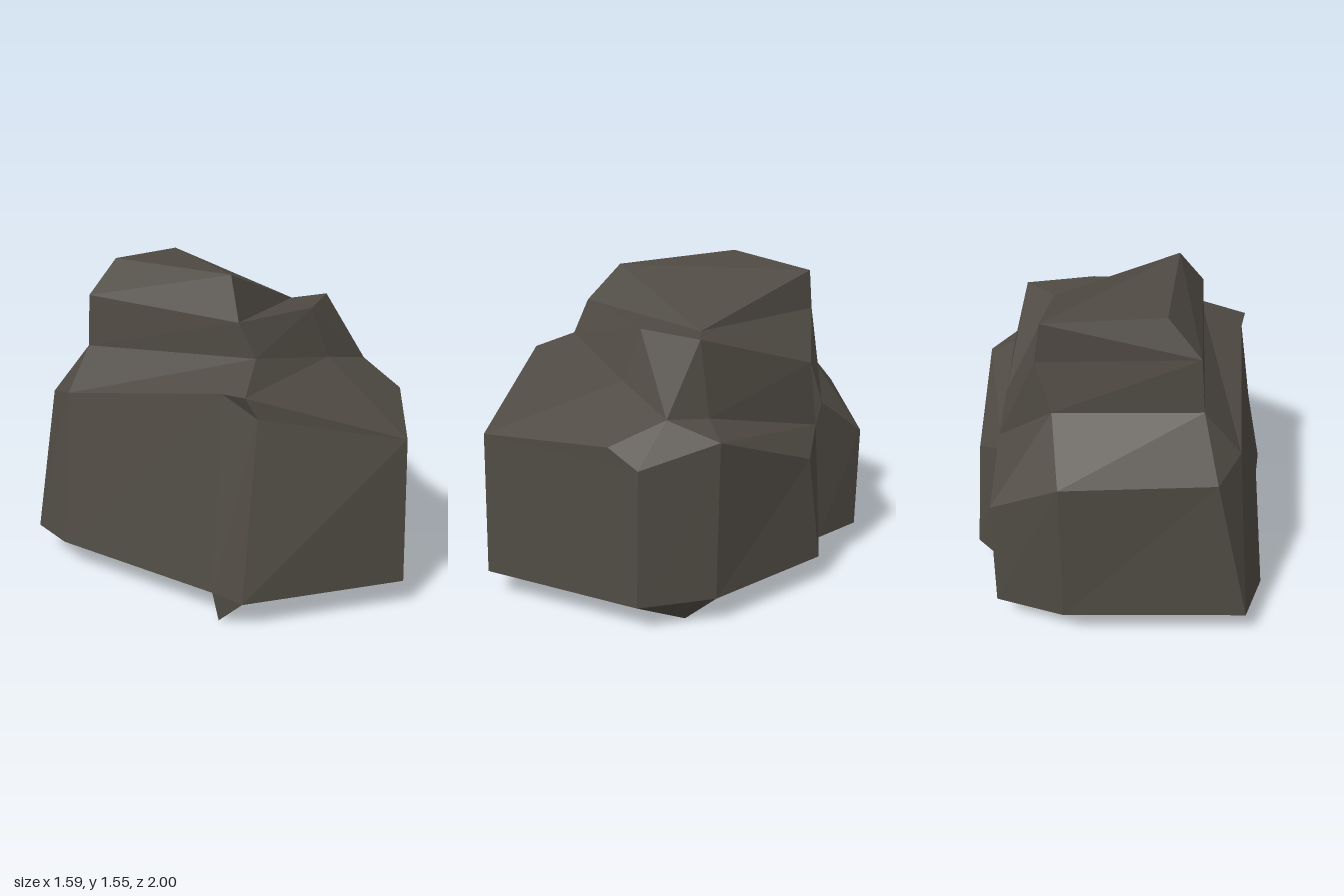
import * as THREE from 'three';

const stone = new THREE.MeshStandardMaterial({ color: 0x4f4a43, flatShading: true });
stone.name = 'dark stone';

// Named corners, grouped by height
const base = {
  a: [0.03, 0.14, 1.0], b: [0.7, 0.14, 0.51], c: [0.79, 0.14, 0.14], d: [0.66, 0.14, -0.54],
  e: [0.48, 0.14, -0.67], f: [0.42, 0.14, -0.95], g: [0.08, 0.14, -0.99], h: [-0.76, 0.14, -0.8],
  i: [-0.8, 0.14, -0.54], j: [-0.67, 0.14, 0.4], k: [-0.66, 0.14, 0.58],
};
const rim = {
  a: [0.03, 0.86, 0.98], b: [0.68, 0.81, 0.49], c: [0.77, 0.91, 0.12], d: [0.64, 0.68, -0.47],
  e: [0.47, 0.78, -0.62], f: [0.42, 0.68, -0.95], g: [0.08, 0.86, -1.0], h: [-0.6, 0.86, -0.81],
  i: [-0.67, 0.91, -0.6], j: [-0.54, 1.08, 0.35], k: [-0.5, 0.99, 0.53],
};
const ledge = {
  b: [0.56, 0.9, 0.58], c: [0.61, 1.0, 0.31], d: [0.63, 0.98, 0.1], f: [0.46, 0.89, -0.66],
  g: [0.17, 1.1, -0.75], h: [-0.5, 1.12, -0.63], j: [-0.32, 1.2, 0.36], k: [-0.54, 1.09, 0.49],
};
const neck = {
  a: [0.24, 1.09, 0.35], d: [0.54, 1.33, 0.1], e: [0.43, 1.1, -0.6], g: [0.25, 1.33, -0.72],
  h: [-0.48, 1.38, -0.63], j: [-0.34, 1.36, 0.27],
};
const crown = {
  front: [0.23, 1.33, 0.25], side: [0.37, 1.32, 0.0], back: [0.22, 1.52, -0.72],
  left: [-0.32, 1.55, -0.6], peak: [-0.24, 1.55, 0.13],
};

// Rings run front, +x, back, -x; repeated corners close facets to a point
const pick = (set, keys) => [...keys].map((k) => set[k]);
const rings = [
  pick(base, 'abccdefghijjk'),
  pick(rim, 'abccdefghijjk'),
  [rim.a, ledge.b, ledge.c, ledge.d, rim.e, rim.e, ledge.f, ledge.g, ledge.h, ledge.h,
    ledge.j, ledge.j, ledge.k],
  [neck.a, neck.a, ledge.c, neck.d, neck.e, neck.e, neck.e, neck.g, neck.h, neck.h,
    neck.j, neck.j, ledge.j],
  [crown.front, crown.front, crown.front, crown.front, crown.side, crown.side, crown.side,
    crown.side, crown.back, crown.left, crown.peak, crown.side, crown.front],
];

// Fans each polygon into flat triangles, dropping the collapsed ones
function facetMesh(name, polygons) {
  const pos = [];
  for (const p of polygons) {
    for (let i = 1; i < p.length - 1; i++) {
      const [a, b, c] = [p[0], p[i], p[i + 1]];
      if (a !== b && b !== c && a !== c) pos.push(...a, ...b, ...c);
    }
  }
  const geometry = new THREE.BufferGeometry();
  geometry.setAttribute('position', new THREE.Float32BufferAttribute(pos, 3));
  geometry.computeVertexNormals();
  const mesh = new THREE.Mesh(geometry, stone);
  mesh.name = name;
  return mesh;
}

// Band of facets between two rings
const band = (low, high) => low.map((p, i) => {
  const n = (i + 1) % low.length;
  return [p, low[n], high[n], high[i]];
});

export function createModel() {
  const rock = new THREE.Group();
  rock.name = 'rock';

  // Stacked layers of the boulder
  ['lowerWalls', 'ledge', 'upperWalls', 'crown'].forEach((name, i) => {
    rock.add(facetMesh(name, band(rings[i], rings[i + 1])));
  });
  rock.add(facetMesh('top', [[crown.peak, crown.side, crown.back, crown.left]]));

  // Flat underside and the wedge it rests on
  const f0 = [0.67, 0, 0.24];
  const f1 = [-0.66, 0, 0.43];
  rock.add(facetMesh('underside', [pick(base, 'jihgfedc')]));
  rock.add(facetMesh('foot', [
    [base.c, f0, f1, base.j],
    [f0, ...pick(base, 'cbak'), f1],
    [base.k, base.j, f1],
  ]));
  return rock;
}
